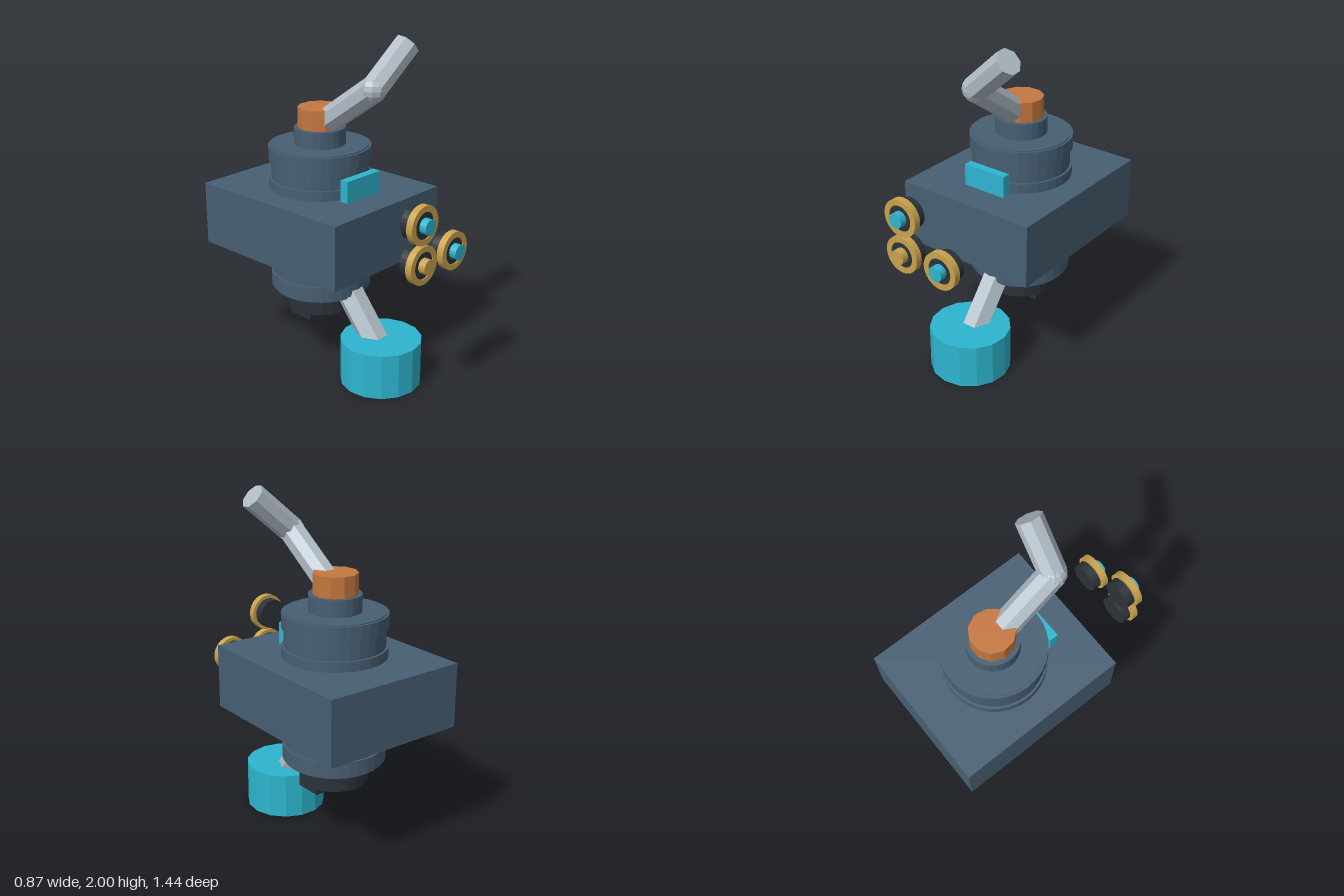
import * as THREE from 'three';

const mat = (name, color) => {
  const m = new THREE.MeshStandardMaterial({ color });
  m.name = name;
  return m;
};

// Faceted copy of a geometry
function flat(geo) {
  const g = geo.index ? geo.toNonIndexed() : geo;
  g.computeVertexNormals();
  return g;
}

export function createModel() {
  const slate = mat('slate', 0x475f73);
  const charcoal = mat('charcoal', 0x2b3238);
  const teal = mat('teal', 0x2eb5cf);
  const gold = mat('gold', 0xc9a24d);
  const copper = mat('copper', 0xc5773f);
  const steel = mat('steel', 0xb0bcc6);

  const root = new THREE.Group();
  root.name = 'machine';

  function add(name, geo, material, x, y, z, parent = root) {
    const mesh = new THREE.Mesh(flat(geo), material);
    mesh.name = name;
    mesh.position.set(x, y, z);
    parent.add(mesh);
    return mesh;
  }

  // Upright cylinder between two heights
  const drum = (name, material, r, y0, y1, z, sides) =>
    add(name, new THREE.CylinderGeometry(r, r, y1 - y0, sides), material, 0, (y0 + y1) / 2, z);

  // Straight pipe between two points
  function pipe(name, a, b, r, sides, turn = 0) {
    const dir = b.clone().sub(a);
    const geo = new THREE.CylinderGeometry(r, r, dir.length(), sides);
    geo.rotateY(turn);
    const mid = a.clone().add(b).multiplyScalar(0.5);
    const mesh = add(name, geo, steel, mid.x, mid.y, mid.z);
    mesh.quaternion.setFromUnitVectors(new THREE.Vector3(0, 1, 0), dir.normalize());
  }

  const axis = -0.197;

  // Housing and column
  add('housing', new THREE.BoxGeometry(0.872, 0.374, 1.043), slate, 0, 0.915, -0.195);
  drum('column', slate, 0.284, 0.473, 1.358, axis, 32);
  for (const [y0, y1] of [[0.49, 0.575], [1.08, 1.16], [1.268, 1.352]])
    drum('columnBand', slate, 0.298, y0, y1, axis, 32);
  drum('neck', slate, 0.15, 1.35, 1.455, axis, 24);
  drum('cap', copper, 0.127, 1.45, 1.573, axis, 11);

  // Underside socket with two rails
  drum('socket', charcoal, 0.202, 0.35, 0.48, axis, 24);
  for (const s of [-1, 1])
    add('rail', new THREE.BoxGeometry(0.053, 0.045, 0.16), charcoal, s * 0.16, 0.338, -0.194);

  // Panel on the column front
  add('panel', new THREE.BoxGeometry(0.274, 0.15, 0.052), teal, 0, 1.155, 0.118);

  // Bent exhaust pipe
  const elbow = new THREE.Vector3(0, 1.735, 0.205);
  pipe('exhaustLower', new THREE.Vector3(0, 1.46, -0.19), elbow, 0.076, 8, Math.PI / 8);
  pipe('exhaustUpper', elbow, new THREE.Vector3(0.239, 1.947, 0.236), 0.076, 8, Math.PI / 8);
  add('exhaustElbow', new THREE.SphereGeometry(0.076, 10, 8), steel, elbow.x, elbow.y, elbow.z);

  // Foot and its slanted strut
  drum('foot', teal, 0.239, 0, 0.272, 0.283, 15);
  pipe('strut', new THREE.Vector3(0, 0.17, 0.287), new THREE.Vector3(0, 0.6, -0.055), 0.083, 6, Math.PI / 6);

  // Dials floating ahead of the housing
  const rimShape = new THREE.Shape().absarc(0, 0, 0.11, 0, Math.PI * 2);
  rimShape.holes.push(new THREE.Path().absarc(0, 0, 0.076, 0, Math.PI * 2, true));
  const disc = (r, h, sides) => new THREE.CylinderGeometry(r, r, h, sides).rotateX(Math.PI / 2);
  const dials = [[-0.135, 1.117, teal], [-0.135, 0.892, gold], [0.135, 0.892, teal]];
  for (const [x, y, hubMaterial] of dials) {
    const dial = new THREE.Group();
    dial.name = 'dial';
    dial.position.set(x, y, 0);
    root.add(dial);
    add('dialBack', disc(0.09, 0.055, 24), charcoal, 0, 0, 0.6175, dial);
    add('dialFace', disc(0.077, 0.04, 24), charcoal, 0, 0, 0.66, dial);
    const rim = new THREE.ExtrudeGeometry(rimShape, { depth: 0.04, bevelEnabled: false, curveSegments: 24 });
    add('dialRim', rim, gold, 0, 0, 0.646, dial);
    add('dialHub', disc(0.044, 0.06, 16), hubMaterial, 0, 0, 0.692, dial);
  }

  return root;
}
